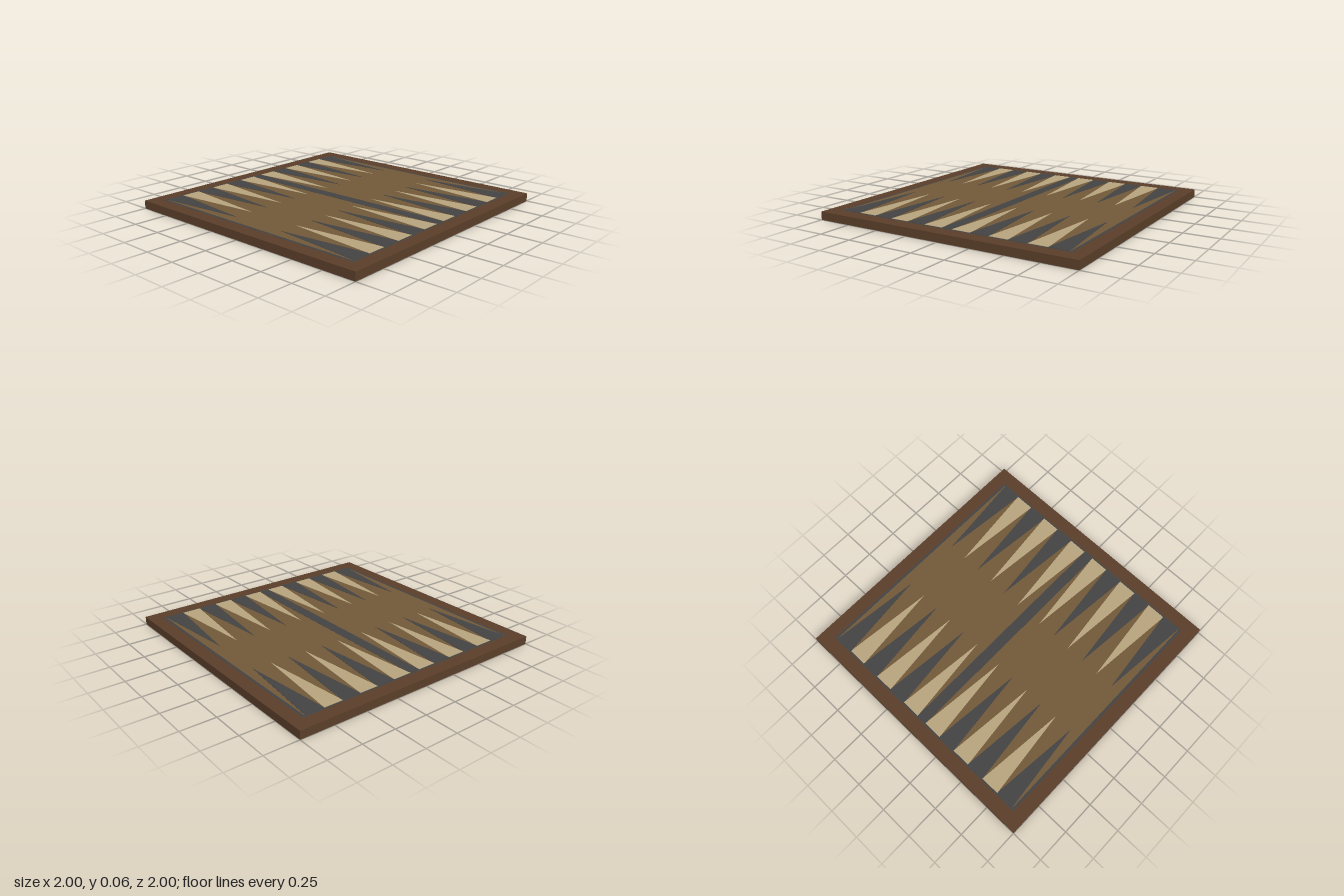
import * as THREE from 'three';

const paint = (color) => new THREE.MeshStandardMaterial({ color });
const wood = paint(0x5c402a);
const felt = paint(0x735a3a);
const dark = paint(0x444444);
const light = paint(0xb8a67e);

// Slab lying flat between two heights
function slab(name, width, depth, bottom, top, material) {
  const mesh = new THREE.Mesh(new THREE.BoxGeometry(width, top - bottom, depth), material);
  mesh.name = name;
  mesh.position.y = (bottom + top) / 2;
  return mesh;
}

// Thin triangular inlay, base on the front edge, tip towards the middle
function pointGeometry() {
  const shape = new THREE.Shape();
  shape.moveTo(-0.071, -0.888);
  shape.lineTo(0.071, -0.888);
  shape.lineTo(0, -0.215);
  shape.closePath();
  const geometry = new THREE.ExtrudeGeometry(shape, { depth: 0.002, bevelEnabled: false });
  return geometry.rotateX(-Math.PI / 2);
}

export function createModel() {
  const board = new THREE.Group();
  board.name = 'backgammonBoard';

  // Solid base, dark border line, playing field and centre bar
  board.add(slab('base', 2, 2, 0, 0.06, wood));
  board.add(slab('borderLine', 1.806, 1.8, 0.058, 0.0605, dark));
  board.add(slab('playingField', 1.768, 1.776, 0.058, 0.0612, felt));
  board.add(slab('centreBar', 0.08, 1.776, 0.06, 0.0625, dark));

  // Six alternating points in each quarter, mirrored about the bar
  const geometry = pointGeometry();
  for (const end of [0, Math.PI]) {
    for (const side of [-1, 1]) {
      for (let i = 0; i < 6; i++) {
        const point = new THREE.Mesh(geometry, i % 2 ? dark : light);
        point.name = i % 2 ? 'darkPoint' : 'lightPoint';
        point.position.set(side * (0.11 + i * 0.14), 0.061, 0);
        point.rotation.y = end;
        board.add(point);
      }
    }
  }
  return board;
}
